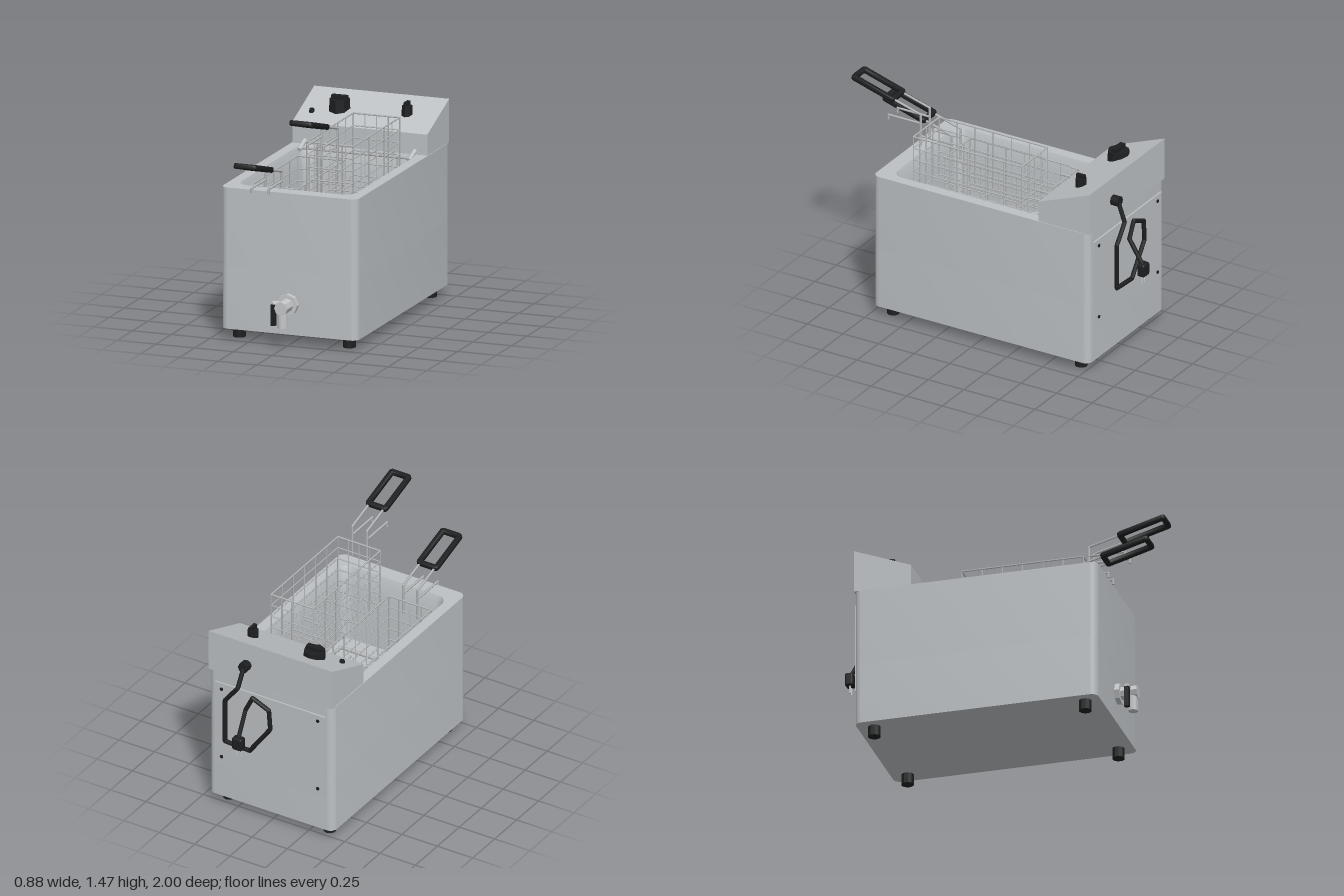
import * as THREE from 'three';
import { mergeGeometries, toCreasedNormals } from 'three/addons/utils/BufferGeometryUtils.js';
import { RoundedBoxGeometry } from 'three/addons/geometries/RoundedBoxGeometry.js';

const mat = (name, color) => {
  const m = new THREE.MeshStandardMaterial({ color });
  m.name = name;
  return m;
};

export function createModel() {
  const steel = mat('brushed steel', 0xbdc1c4);
  const chrome = mat('valve metal', 0xc4c7c9);
  const wire = mat('wire metal', 0xb6b9bb);
  const black = mat('black plastic', 0x1e1f20);
  const model = new THREE.Group();

  const add = (name, geo, material, parent = model) => {
    const mesh = new THREE.Mesh(geo, material);
    mesh.name = name;
    parent.add(mesh);
    return mesh;
  };
  const V = (p) => new THREE.Vector3(...p);
  const Y = new THREE.Vector3(0, 1, 0);

  // Round bar between two points
  const rod = (a, b, r, sides = 6) => {
    const p = V(a), q = V(b), d = q.clone().sub(p);
    const g = new THREE.CylinderGeometry(r, r, d.length(), sides);
    g.applyQuaternion(new THREE.Quaternion().setFromUnitVectors(Y, d.normalize()));
    g.translate(...p.add(q).multiplyScalar(0.5).toArray());
    return g;
  };
  // Bent bar with rounded joints
  const bent = (pts, r, sides = 6) => {
    const parts = [];
    pts.forEach((p, i) => {
      if (i) parts.push(rod(pts[i - 1], p, r, sides));
      if (i && i < pts.length - 1) parts.push(new THREE.SphereGeometry(r, sides, 4).translate(...p));
    });
    return mergeGeometries(parts);
  };
  // Rounded rectangle outline
  const roundRect = (x0, y0, x1, y1, r, C = THREE.Shape) => {
    const s = new C();
    s.absarc(x1 - r, y0 + r, r, -Math.PI / 2, 0);
    s.absarc(x1 - r, y1 - r, r, 0, Math.PI / 2);
    s.absarc(x0 + r, y1 - r, r, Math.PI / 2, Math.PI);
    s.absarc(x0 + r, y0 + r, r, Math.PI, Math.PI * 1.5);
    s.closePath();
    return s;
  };
  // Cabinet layer; shape y runs along -z
  const layer = (name, y0, y1, hole) => {
    const s = roundRect(-0.44, -0.73, 0.44, 0.787, 0.045);
    if (hole) s.holes.push(roundRect(...hole, THREE.Path));
    const g = new THREE.ExtrudeGeometry(s, { depth: y1 - y0, bevelEnabled: false, curveSegments: 6 });
    g.rotateX(-Math.PI / 2).translate(0, y0, 0);
    add(name, toCreasedNormals(g, 0.6), steel);
  };

  // Cabinet with sunken tank
  layer('cabinetBase', 0.065, 0.45);
  layer('cabinetWalls', 0.45, 0.94, [-0.374, -0.634, 0.374, 0.432, 0.075]);

  // Tank lining: sloped lip above straight walls, facing inward
  const rings = [[0, 0.94], [0.01, 0.915], [0.032, 0.8], [0.038, 0.45]].map(([inset, y]) =>
    roundRect(-0.374 + inset, -0.634 + inset, 0.374 - inset, 0.432 - inset, 0.075 - inset / 2)
      .getPoints(6).map((p) => [p.x, y, -p.y]));
  const lining = [];
  for (let k = 0; k < rings.length - 1; k++) for (let i = 0; i < rings[k].length; i++) {
    const j = (i + 1) % rings[k].length, [hi, lo] = [rings[k], rings[k + 1]];
    lining.push(...hi[i], ...hi[j], ...lo[i], ...hi[j], ...lo[j], ...lo[i]);
  }
  const liningGeo = new THREE.BufferGeometry();
  liningGeo.setAttribute('position', new THREE.Float32BufferAttribute(lining, 3));
  add('tankLining', toCreasedNormals(liningGeo, 0.6), steel);

  // Sloped control head
  const head = new THREE.Shape();
  [[0.432, 0.94], [0.79, 0.94], [0.79, 1.208], [0.432, 1.07]].forEach(([z, y], i) =>
    i ? head.lineTo(z, y) : head.moveTo(z, y));
  add('controlHead', new THREE.ExtrudeGeometry(head, { depth: 0.872, bevelEnabled: false })
    .rotateY(Math.PI / 2).translate(-0.436, 0, 0), steel);

  // Upright knobs and pilot lamp on the slope
  const knob = (name, x, z, r, y0, y1, grip) => {
    const g = new THREE.Group();
    g.name = name;
    g.position.set(x, 0, z);
    model.add(g);
    const base = new THREE.CylinderGeometry(r * 0.94, r, y1 - y0, 8).translate(0, (y0 + y1) / 2, 0);
    add('knobBase', toCreasedNormals(base, 0.3), black, g);
    if (grip) add('knobGrip', new THREE.BoxGeometry(grip[0], 0.026, grip[1]).translate(0, y1 + 0.012, 0), black, g);
  };
  knob('thermostatKnob', -0.2, -0.61, 0.07, 1.1, 1.19, [0.1, 0.035]);
  knob('switchKnob', 0.235, -0.61, 0.036, 1.11, 1.19, [0.022, 0.06]);
  knob('pilotLamp', -0.355, -0.545, 0.017, 1.1, 1.133);

  // Feet
  for (const x of [-0.355, 0.355]) for (const z of [0.635, -0.685])
    add('foot', toCreasedNormals(new THREE.CylinderGeometry(0.039, 0.039, 0.068, 10).translate(x, 0.034, z), 0.3), black);

  // Wire basket with hooks and grip
  const basket = (name, cx, top) => {
    const g = new THREE.Group();
    g.name = name;
    g.position.set(cx, top, 0);
    model.add(g);
    const w = 0.15, zf = 0.51, zb = -0.25, depth = 0.385, parts = [];
    for (let i = 0; i <= 5; i++) {
      const y = -depth * i / 5, r = i ? 0.004 : 0.0055;
      for (const z of [zf, zb]) parts.push(rod([-w, y, z], [w, y, z], r));
      for (const x of [-w, w]) parts.push(rod([x, y, zb], [x, y, zf], r));
    }
    for (let i = 0; i <= 4; i++) {
      const x = -w + 2 * w * i / 4;
      parts.push(bent([[x, 0, zb], [x, -depth, zb], [x, -depth, zf], [x, 0, zf]], 0.004));
    }
    for (let i = 1; i < 6; i++) {
      const z = zb + (zf - zb) * i / 6;
      parts.push(bent([[-w, 0, z], [-w, -depth, z], [w, -depth, z], [w, 0, z]], 0.004));
    }
    add('basketMesh', mergeGeometries(parts), wire, g);

    const arms = [];
    for (const x of [-0.052, 0.052]) {
      arms.push(bent([[x, -0.1, 0.517], [x, 0.105, 0.517], [x, 0.165, 0.73]], 0.0075));
      arms.push(bent([[x, 0.045, 0.517], [x, 0.045, 0.743], [x, 0.015, 0.743]], 0.0075));
    }
    add('basketArms', mergeGeometries(arms), wire, g);

    const frame = roundRect(-0.067, -0.148, 0.067, 0.148, 0.014);
    frame.holes.push(roundRect(-0.053, -0.134, 0.053, 0.134, 0.01, THREE.Path));
    const grip = new THREE.ExtrudeGeometry(frame, {
      depth: 0.016, bevelSize: 0.009, bevelThickness: 0.009, bevelSegments: 2, curveSegments: 4,
    });
    grip.translate(0, 0, -0.008).rotateX(Math.PI / 2 - 0.28).translate(0, 0.199, 0.846);
    add('basketGrip', toCreasedNormals(grip, 0.9), black, g);
  };
  basket('loweredBasket', -0.18, 0.91);
  basket('raisedBasket', 0.18, 1.21);

  // Rear hanging rail with sloping brackets
  const rail = [rod([-0.36, 0.931, -0.367], [0.36, 0.931, -0.367], 0.009)];
  for (const x of [-0.235, -0.127, 0.127, 0.235])
    rail.push(bent([[x, 0.93, -0.387], [x, 0.96, -0.387], [x, 0.96, -0.25]], 0.006));
  add('rearRail', mergeGeometries(rail), wire);
  for (const x of [-0.355, 0.355]) add('railBracket', rod([x, 0.925, -0.34], [x, 0.962, -0.437], 0.014, 8), chrome);

  // Heating element
  const heater = bent([[-0.26, 0.93, -0.4], [-0.26, 0.49, -0.4], [-0.26, 0.49, 0.43],
    [0.26, 0.49, 0.43], [0.26, 0.49, -0.4], [0.26, 0.93, -0.4]], 0.011, 8);
  add('heatingElement', heater, wire);

  // Drain valve
  const valve = mergeGeometries([
    rod([0, 0.255, 0.72], [0, 0.255, 0.76], 0.067, 8),
    rod([0, 0.255, 0.75], [0, 0.255, 0.862], 0.042, 8),
    rod([0, 0.25, 0.83], [0, 0.13, 0.83], 0.03, 10),
    rod([0, 0.272, 0.81], [-0.068, 0.272, 0.81], 0.016, 8),
  ]);
  add('drainValve', toCreasedNormals(valve, 0.6), chrome);
  add('valveLever', new THREE.BoxGeometry(0.028, 0.13, 0.03).translate(-0.066, 0.2, 0.81), black);

  // Rear service panel
  add('rearPanel', new THREE.BoxGeometry(0.78, 0.57, 0.012).translate(0, 0.585, -0.791), steel);
  for (const x of [-0.34, 0.34]) for (const y of [0.35, 0.83])
    add('panelScrew', rod([x, y, -0.795], [x, y, -0.803], 0.011, 8), black);

  // Power cord and plug
  add('cordRelief', rod([0.165, 1.06, -0.785], [0.165, 1.06, -0.842], 0.033, 8), black);
  add('powerCord', bent([[0.165, 1.055, -0.83], [0.175, 0.935, -0.88], [0.265, 0.82, -0.88],
    [0.265, 0.53, -0.88], [0.09, 0.52, -0.88], [-0.055, 0.72, -0.88], [-0.045, 0.85, -0.88],
    [0.07, 0.9, -0.88], [0.12, 0.8, -0.88], [0.115, 0.65, -0.968]], 0.014, 8), black);
  add('plug', new RoundedBoxGeometry(0.07, 0.085, 0.054, 2, 0.014).translate(0.112, 0.617, -0.973), black);
  for (const x of [0.096, 0.128]) add('plugPin', rod([x, 0.58, -0.97], [x, 0.525, -0.97], 0.007), chrome);

  return model;
}
